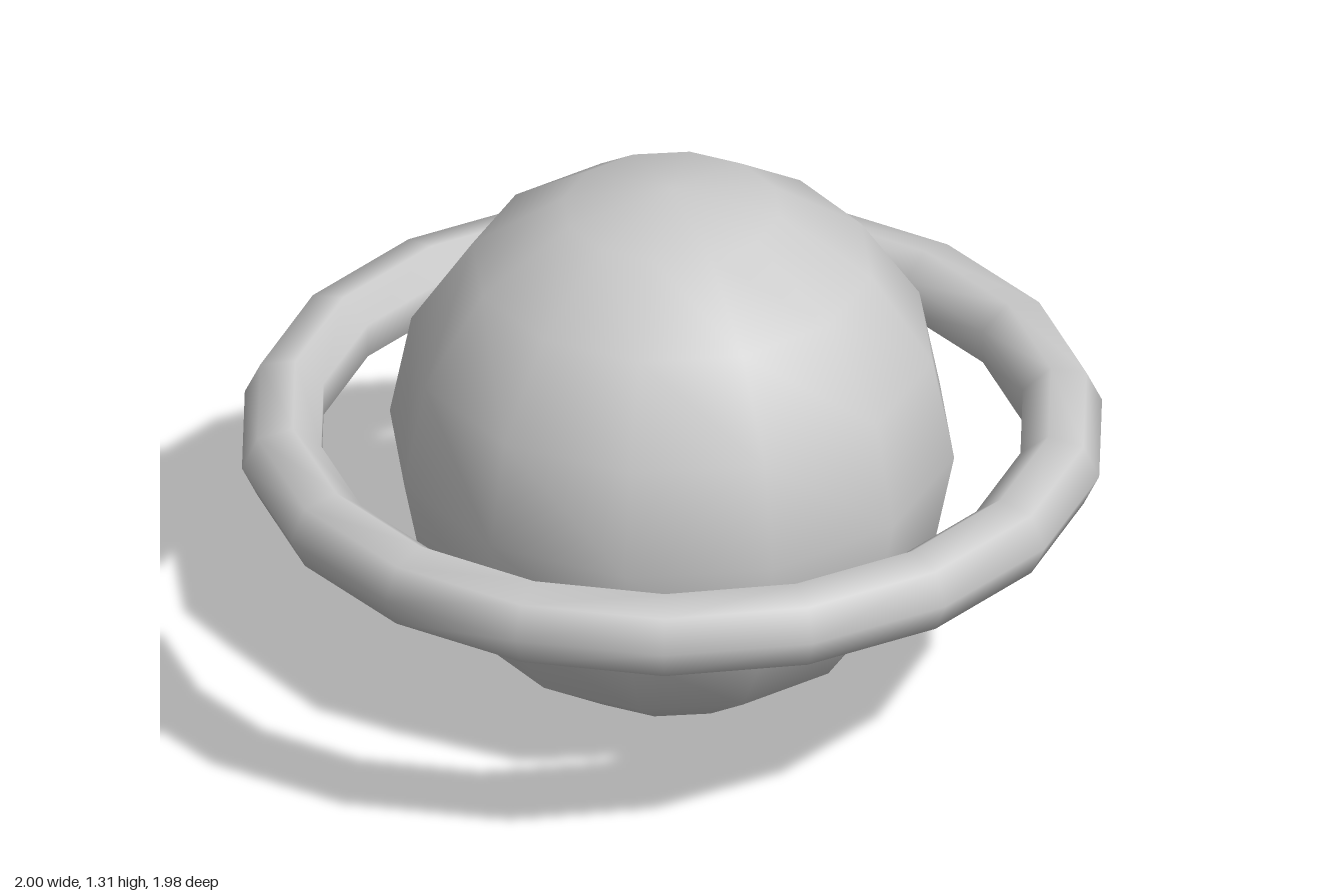
import * as THREE from 'three';

export function createModel() {
  const group = new THREE.Group();
  const material = new THREE.MeshStandardMaterial({ color: 0xcccccc });
  const radius = 0.657;

  function add(name, geometry) {
    const mesh = new THREE.Mesh(geometry, material);
    mesh.name = name;
    mesh.position.y = radius;
    group.add(mesh);
  }

  // Globe resting on the ground
  add('planet', new THREE.SphereGeometry(radius, 12, 8));

  // Level ring around the equator, turned slightly about the vertical axis
  const ring = new THREE.TorusGeometry(0.903, 0.097, 7, 18);
  ring.rotateX(Math.PI / 2);
  ring.rotateY(THREE.MathUtils.degToRad(-1.7));
  add('ring', ring);

  return group;
}
